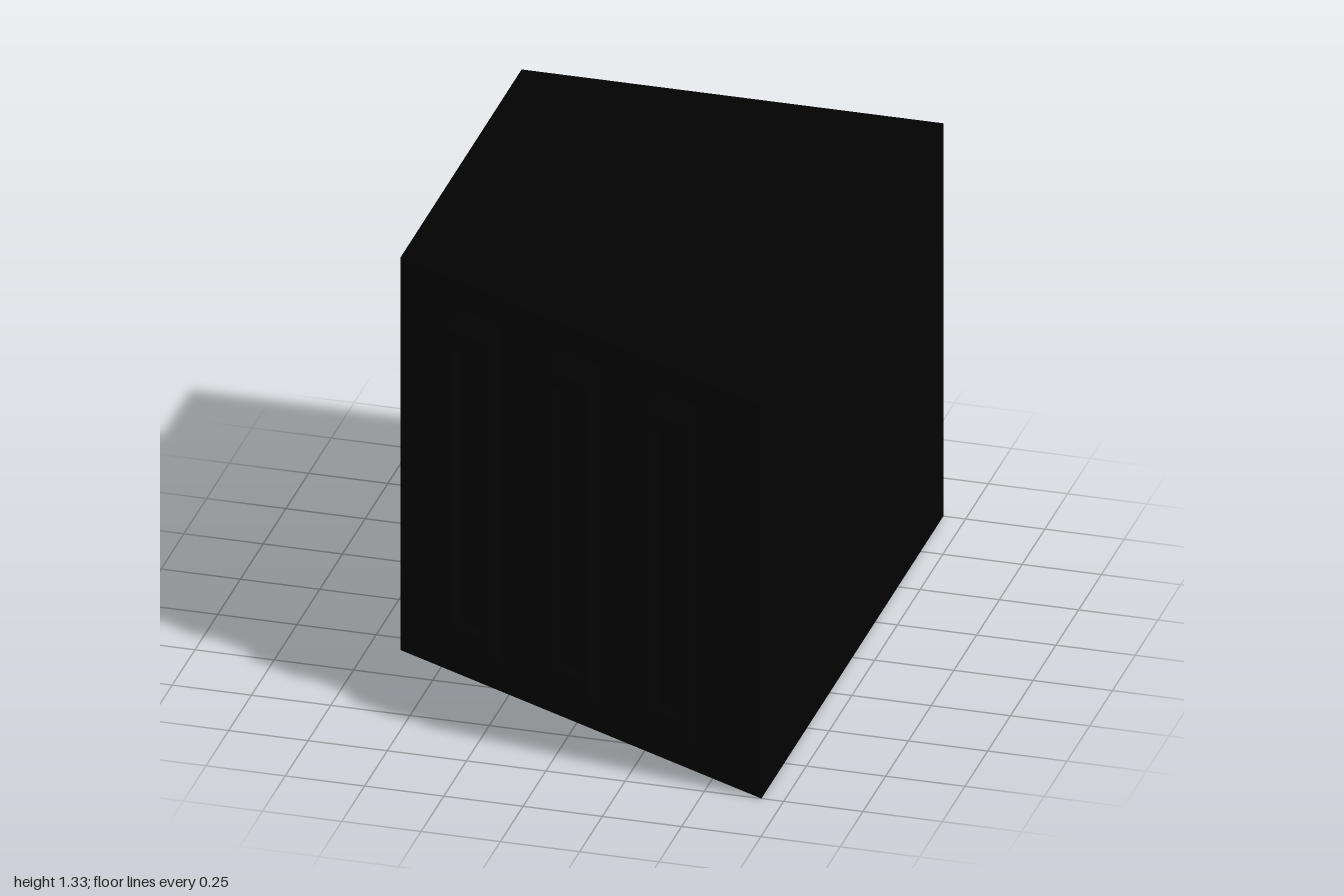
import * as THREE from 'three';

const H = 1.33;
const plan = [[-0.65, 0.33], [0.68, 1], [0.68, -1], [-0.65, -1]];
const material = new THREE.MeshStandardMaterial({ color: 0x020202, flatShading: true });
const V = (x, y, z) => new THREE.Vector3(x, y, z);

// Skin a series of rings (counter-clockwise from outside) and cap the last one
function loft(name, rings) {
  const pos = [];
  const tri = (...pts) => pts.forEach(p => pos.push(p.x, p.y, p.z));
  const n = rings[0].length;
  for (let k = 0; k + 1 < rings.length; k++) {
    const a = rings[k], b = rings[k + 1];
    for (let i = 0; i < n; i++) {
      const j = (i + 1) % n;
      tri(a[i], a[j], b[j]);
      tri(a[i], b[j], b[i]);
    }
  }
  const cap = rings[rings.length - 1];
  for (let i = 1; i + 1 < n; i++) tri(cap[0], cap[i], cap[i + 1]);
  const geo = new THREE.BufferGeometry();
  geo.setAttribute('position', new THREE.Float32BufferAttribute(pos, 3));
  geo.computeVertexNormals();
  const mesh = new THREE.Mesh(geo, material);
  mesh.name = name;
  return mesh;
}

// Move each edge of a flat convex ring inward by m and sink it by depth
function inset(ring, m, depth) {
  const n = ring.length;
  return ring.map((p, i) => {
    const a = ring[(i + n - 1) % n].clone().sub(p).normalize();
    const b = ring[(i + 1) % n].clone().sub(p).normalize();
    const cross = b.clone().cross(a);
    const s = cross.length();
    return p.clone().addScaledVector(a.add(b), m / s).addScaledVector(cross, -depth / s);
  });
}

// Wall with a shallow recessed panel
const panelled = (name, ring) =>
  loft(name, [ring, inset(ring, 0.16, 0), inset(ring, 0.172, 0.012)]);

const rect = (w, y0, y1, z) => [V(-w, y0, z), V(w, y0, z), V(w, y1, z), V(-w, y1, z)];

export function createModel() {
  const model = new THREE.Group();
  model.name = 'cabinet';

  // Cabinet walls, top and bottom
  const at = y => plan.map(([x, z]) => V(x, y, z));
  const low = at(0), high = at(H);
  model.add(panelled('topPanel', high), panelled('bottomPanel', [...low].reverse()));
  ['slantedFront', 'leftWall', 'backWall', 'doorWall'].forEach((name, i) => {
    const j = (i + 1) % 4;
    const ring = [low[i], low[j], high[j], high[i]];
    model.add(i === 0 ? loft(name, [ring]) : panelled(name, ring));
  });

  // Three raised vents with sloped ends and a sunken slot
  const slope = 0.67 / 1.33;
  for (const x of [-0.357, 0.008, 0.372]) {
    const vent = loft('vent', [
      rect(0.086, 0.09, 1.24, 0),
      rect(0.086, 0.14, 1.19, 0.06),
      rect(0.065, 0.19, 1.145, 0.06),
      rect(0.065, 0.19, 1.145, 0.012),
    ]);
    vent.position.set(x, 0, 0.33 + (x + 0.65) * slope);
    vent.rotation.y = -Math.atan(slope);
    model.add(vent);
  }

  // Door handle with tapered sides
  const grip = (x, z0, z1) => [V(x, 0.61, z0), V(x, 0.61, z1), V(x, 0.73, z1), V(x, 0.73, z0)];
  model.add(loft('doorHandle', [grip(-0.637, -0.785, -0.565), grip(-0.687, -0.75, -0.6)]));

  // Six-sided hinge barrels
  for (const y of [0.425, 0.915]) {
    const hinge = new THREE.Mesh(new THREE.CylinderGeometry(0.044, 0.044, 0.21, 6), material);
    hinge.name = 'hinge';
    hinge.rotation.y = Math.PI / 2;
    hinge.position.set(-0.638, y, 0.163);
    model.add(hinge);
  }
  return model;
}
